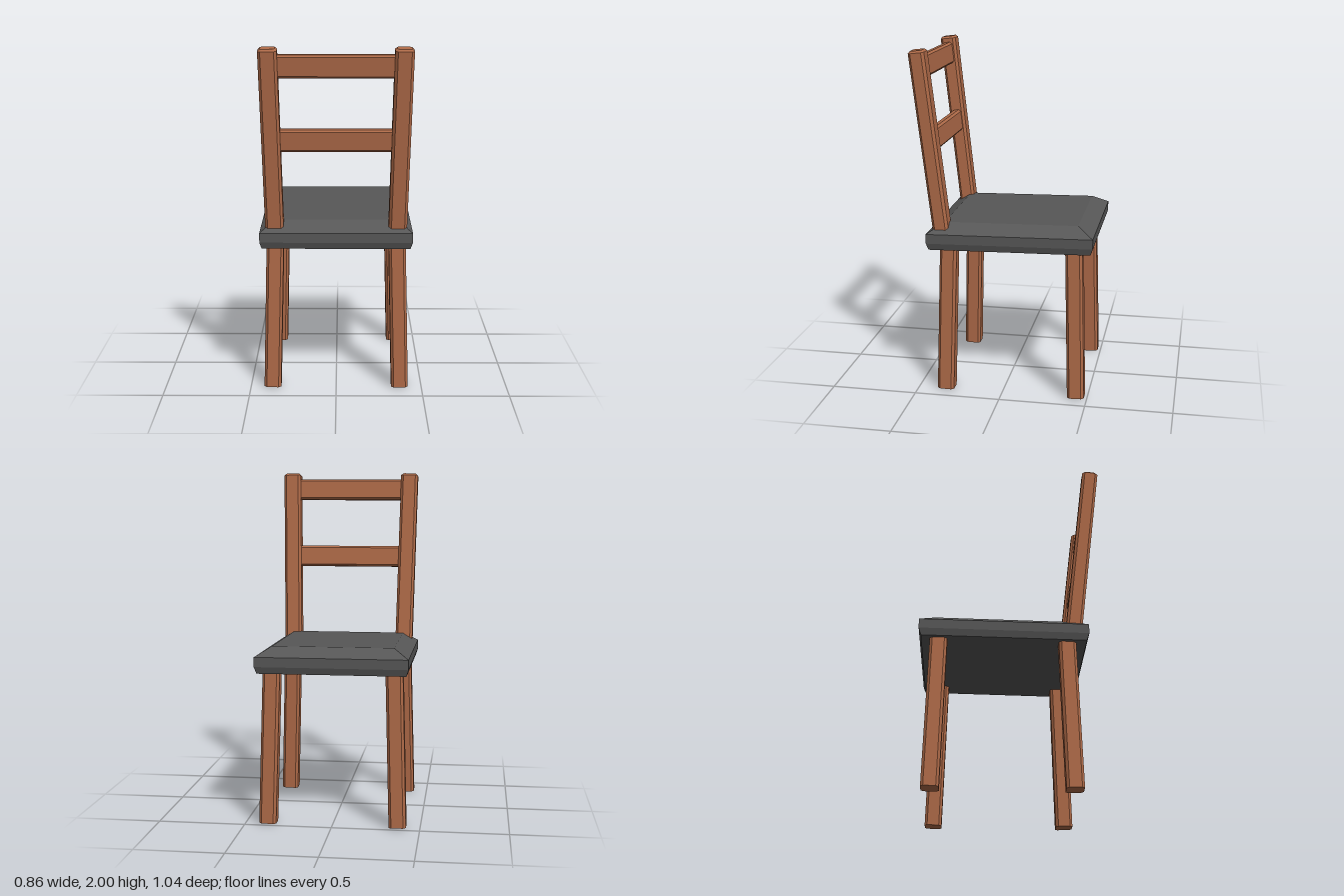
import * as THREE from 'three';

const wood = new THREE.MeshStandardMaterial({ color: 0xae6a48 });
wood.name = 'wood';
const seatGrey = new THREE.MeshStandardMaterial({ color: 0x575757 });
seatGrey.name = 'seat grey';

// Rectangular section at height y with cut corners, counter-clockwise from above.
function section(hw, hd, y, cut = 0) {
  const corners = [[1, -1], [-1, -1], [-1, 1], [1, 1]];
  return corners.flatMap(([sx, sz], i) => {
    if (!cut) return [new THREE.Vector3(sx * hw, y, sz * hd)];
    const onSide = new THREE.Vector3(sx * hw, y, sz * (hd - cut));
    const onEnd = new THREE.Vector3(sx * (hw - cut), y, sz * hd);
    return i % 2 ? [onEnd, onSide] : [onSide, onEnd];
  });
}

// Flat-faced solid through stacked sections, bottom to top.
function loft(rings) {
  const pts = [];
  const n = rings[0].length;
  for (let r = 0; r < rings.length - 1; r++) {
    const lo = rings[r], up = rings[r + 1];
    for (let i = 0; i < n; i++) {
      const j = (i + 1) % n;
      pts.push(lo[i], lo[j], up[j], lo[i], up[j], up[i]);
    }
  }
  const bottom = rings[0], top = rings[rings.length - 1];
  for (let i = 1; i < n - 1; i++) {
    pts.push(top[0], top[i], top[i + 1], bottom[0], bottom[i + 1], bottom[i]);
  }
  const geo = new THREE.BufferGeometry().setFromPoints(pts);
  geo.computeVertexNormals();
  return geo;
}

// Upright bar with chamfered long edges, and optionally a chamfered top.
function bar(hw, hd, length, cut, topCut = 0) {
  const h = length / 2;
  const rings = [section(hw, hd, -h, cut), section(hw, hd, h - topCut, cut)];
  if (topCut) rings.push(section(hw - topCut, hd - topCut, h, cut * 0.6));
  return loft(rings);
}

// Bar running from one point to another.
function strut(name, from, to, hw, hd, topCut) {
  const a = new THREE.Vector3(...from), b = new THREE.Vector3(...to);
  const mesh = new THREE.Mesh(bar(hw, hd, a.distanceTo(b), 0.015, topCut), wood);
  mesh.name = name;
  mesh.position.copy(a).lerp(b, 0.5);
  mesh.quaternion.setFromUnitVectors(new THREE.Vector3(0, 1, 0), b.sub(a).normalize());
  return mesh;
}

export function createModel() {
  const chair = new THREE.Group();
  chair.name = 'chair';

  // Seat cushion: bevelled slab, slightly higher at the end away from the backrest
  const seatGeo = loft([
    section(0.42, 0.465, 0.869),
    section(0.432, 0.478, 0.908),
    section(0.432, 0.478, 0.963),
    section(0.345, 0.385, 1.017),
  ]);
  seatGeo.translate(0, 0, -0.043);
  const p = seatGeo.attributes.position;
  for (let i = 0; i < p.count; i++) p.setY(i, p.getY(i) - 0.0188 * p.getZ(i));
  seatGeo.computeVertexNormals();
  const seat = new THREE.Mesh(seatGeo, seatGrey);
  seat.name = 'seat';
  chair.add(seat);

  // Splayed legs and leaning back posts, mirrored left and right
  for (const [side, s] of [['left', 1], ['right', -1]]) {
    chair.add(
      strut(side + 'FrontLeg', [s * 0.372, 0.003, -0.434], [s * 0.347, 0.92, -0.409], 0.049, 0.049),
      strut(side + 'BackLeg', [s * 0.372, 0.003, 0.338], [s * 0.347, 0.92, 0.314], 0.049, 0.049),
      strut(side + 'BackPost', [s * 0.348, 0.94, 0.354], [s * 0.369, 1.994, 0.476], 0.052, 0.046, 0.012),
    );
  }

  // Two cross rails tilted with the posts
  for (const [name, y, z] of [['upperRail', 1.896, 0.467], ['lowerRail', 1.482, 0.415]]) {
    const geo = bar(0.064, 0.026, 0.69, 0.012);
    geo.rotateZ(Math.PI / 2);
    const rail = new THREE.Mesh(geo, wood);
    rail.name = name;
    rail.position.set(0, y, z);
    rail.rotation.x = 0.115;
    chair.add(rail);
  }

  return chair;
}
